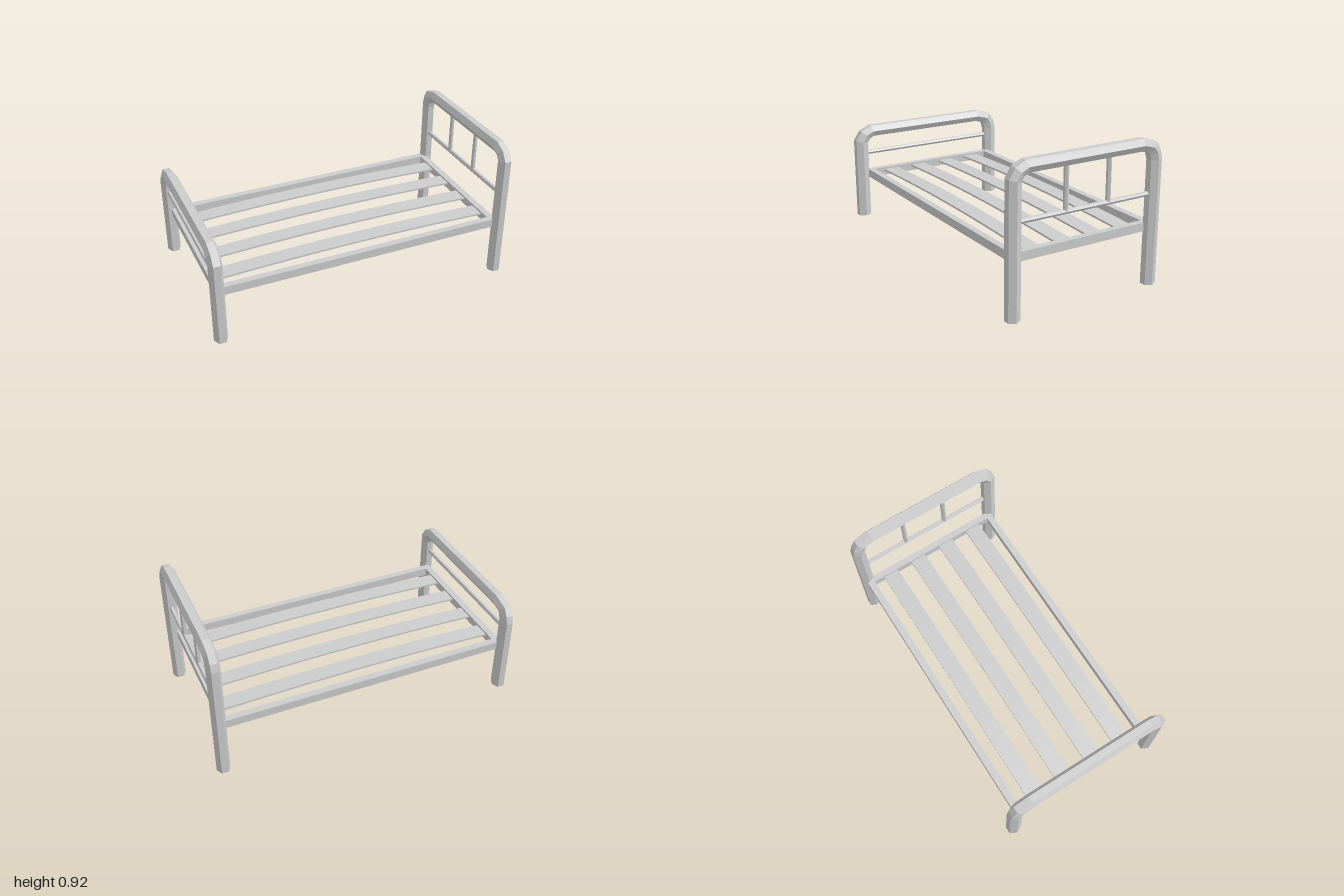
import * as THREE from 'three';

const material = new THREE.MeshStandardMaterial({ color: 0xcccccc, flatShading: true });
const openMaterial = new THREE.MeshStandardMaterial({ color: 0xcccccc, flatShading: true, side: THREE.DoubleSide });

function add(parent, name, geometry, x, y, z, mat = material) {
  const mesh = new THREE.Mesh(geometry, mat);
  mesh.name = name;
  mesh.position.set(x, y, z);
  parent.add(mesh);
  return mesh;
}

// Box given by its limits on each axis
function addBox(parent, name, [x0, x1], [y0, y1], [z0, z1]) {
  add(parent, name, new THREE.BoxGeometry(x1 - x0, y1 - y0, z1 - z0), (x0 + x1) / 2, (y0 + y1) / 2, (z0 + z1) / 2);
}

// Six-sided bar along y, with a corner facing x
const hexBar = (radius, length) => new THREE.CylinderGeometry(radius, radius, length, 6, 1, false, Math.PI / 2);

// Open hexagonal tube swept with mitred joints along an arch of [z, y] points
function archGeometry(points, rx, rn) {
  const path = points.map(([z, y]) => new THREE.Vector2(z, y));
  const positions = [], index = [];
  const normalOf = (a, b) => {
    const t = b.clone().sub(a).normalize();
    return new THREE.Vector2(t.y, -t.x);
  };
  path.forEach((p, i) => {
    const n1 = normalOf(path[Math.max(i - 1, 0)], path[Math.max(i, 1)]);
    const last = path.length - 1;
    const n2 = normalOf(path[Math.min(i, last - 1)], path[Math.min(i + 1, last)]);
    const n = n1.clone().add(n2).normalize();
    n.divideScalar(n.dot(n1));
    for (let j = 0; j < 6; j++) {
      const a = (j * Math.PI) / 3;
      const o = Math.sin(a) * rn;
      positions.push(Math.cos(a) * rx, p.y + n.y * o, p.x + n.x * o);
      if (i < last) {
        const k = i * 6 + j, l = i * 6 + ((j + 1) % 6);
        index.push(k, k + 6, l, l, k + 6, l + 6);
      }
    }
  });
  const geometry = new THREE.BufferGeometry();
  geometry.setAttribute('position', new THREE.Float32BufferAttribute(positions, 3));
  geometry.setIndex(index);
  geometry.computeVertexNormals();
  return geometry;
}

// Bent end frame: two legs and a top rail in one tube, plus a thin cross rung
function endFrame(name, x, drop, foot, widen, rungY) {
  const group = new THREE.Group();
  group.name = name;
  const points = [
    [0.45, foot], [0.45, 0.815 - drop], [0.424, 0.86 - drop], [0.38, 0.884 - drop],
    [-0.347, 0.884 - drop], [-0.417, 0.862 - drop], [-0.436, 0.828 - drop], [-0.446, 0.785 - drop], [-0.446, foot],
  ];
  const arch = add(group, name + 'Tube', archGeometry(points, 0.0435, 0.043), x, 0, 0, openMaterial);
  arch.scale.z = widen;
  const rung = add(group, name + 'Rung', hexBar(0.0155, 0.89 * widen), x, rungY, 0.002);
  rung.rotation.x = Math.PI / 2;
  return group;
}

export function createModel() {
  const bed = new THREE.Group();
  bed.name = 'bed';

  // Headboard with two spindles, and the lower footboard
  const headboard = endFrame('headboard', 0.955, 0, 0, 1.09, 0.576);
  for (const z of [0.144, -0.153]) add(headboard, 'spindle', hexBar(0.0155, 0.29), 0.955, 0.725, z);
  const footboard = endFrame('footboard', -0.9565, 0.22, 0.055, 1.17, 0.51);
  bed.add(headboard, footboard);

  // Rectangular base frame
  const height = [0.335, 0.39];
  for (const z of [[0.445, 0.487], [-0.5, -0.455]]) addBox(bed, 'sideRail', [-0.955, 0.94], height, z);
  addBox(bed, 'footCrossbar', [-0.955, -0.912], height, [-0.455, 0.445]);
  addBox(bed, 'headCrossbar', [0.897, 0.94], height, [-0.455, 0.445]);

  // Slightly bowed slats
  for (const z of [0.321, 0.106, -0.115, -0.33]) {
    const slat = new THREE.BoxGeometry(1.82, 0.012, 0.107, 16, 1, 1);
    const p = slat.attributes.position;
    for (let i = 0; i < p.count; i++) p.setY(i, p.getY(i) - 0.024 * p.getX(i) ** 2);
    slat.computeVertexNormals();
    add(bed, 'slat', slat, -0.01, 0.391, z);
  }
  return bed;
}
